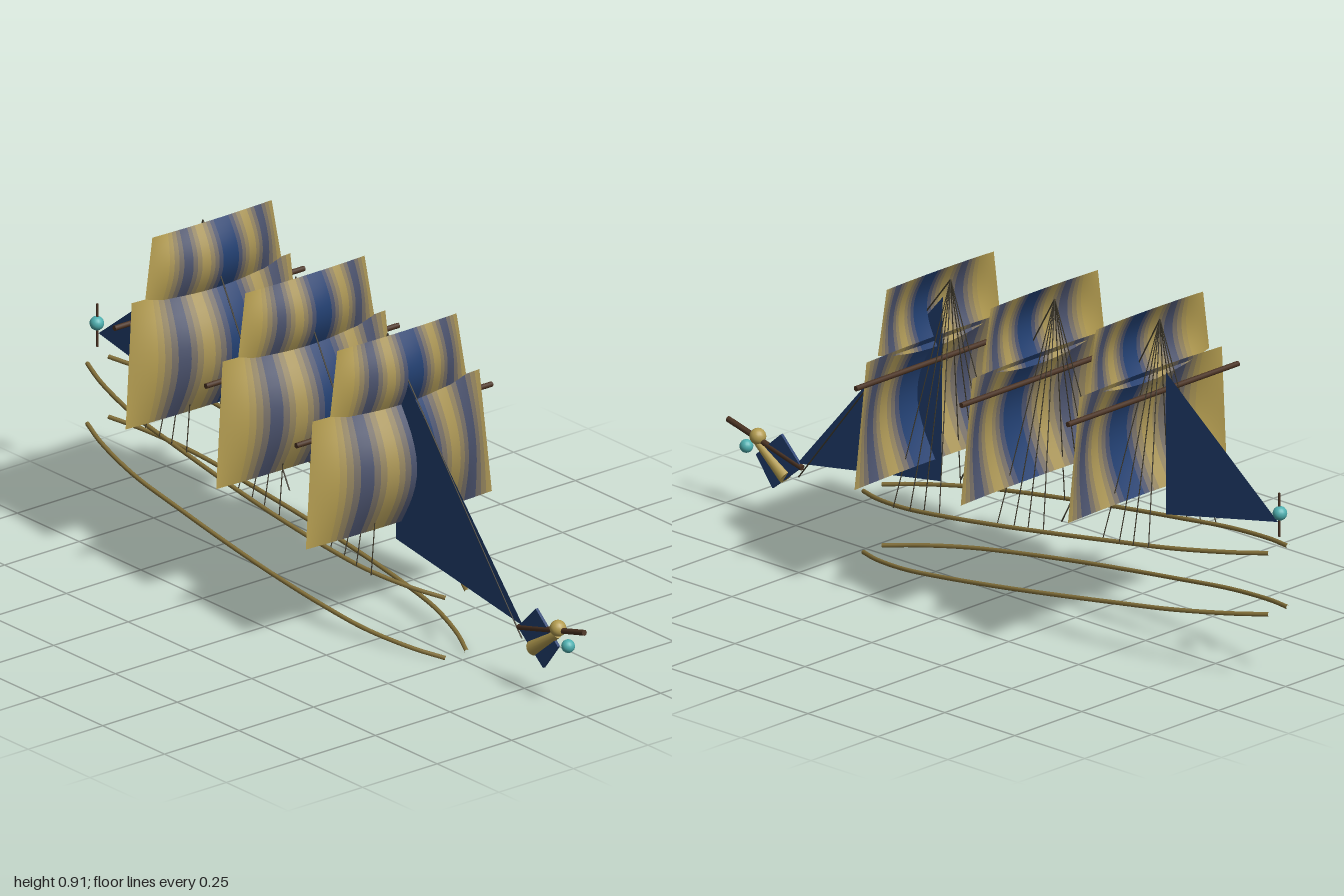
import * as THREE from 'three';

const V = (x, y, z) => new THREE.Vector3(x, y, z);
const GOLD = 0xb39c50, BLUE = 0x223f70, BROWN = 0x4a3222, TEAL = 0x4fb0b0, RAIL = 0x83703a, ROPE = 0x3f3a2c;
const mat = (color, side = THREE.FrontSide) => new THREE.MeshStandardMaterial({ color, side });

function add(parent, name, geometry, material) {
  const mesh = new THREE.Mesh(geometry, material);
  mesh.name = name;
  parent.add(mesh);
  return mesh;
}

// Straight round bar between two points
function bar(parent, name, a, b, r0, r1, material, sides = 8) {
  const mesh = add(parent, name, new THREE.CylinderGeometry(r1, r0, a.distanceTo(b), sides), material);
  mesh.position.copy(a).lerp(b, 0.5);
  mesh.quaternion.setFromUnitVectors(V(0, 1, 0), b.clone().sub(a).normalize());
  return mesh;
}

function ball(parent, name, p, r, material) {
  add(parent, name, new THREE.SphereGeometry(r, 16, 12), material).position.copy(p);
}

// Flat cloth lying in the plane x = 0, given as [z, y] corners
function flatSail(parent, name, points, material) {
  const shape = new THREE.Shape(points.map(([z, y]) => new THREE.Vector2(-z, y)));
  add(parent, name, new THREE.ShapeGeometry(shape), material).rotation.y = Math.PI / 2;
}

// Billowing sail, made of vertical strips that blend between gold and blue
function billowSail(parent, name, s) {
  const group = new THREE.Group();
  group.name = name;
  const stripes = [0, 0, 1, 0, 1, 1, 0, 1, 0];
  const columns = 32, rows = 12;
  const point = (u, v) => {
    const across = 1 - u * u;
    return V(
      u * THREE.MathUtils.lerp(s.bottomHalf, s.topHalf, v),
      THREE.MathUtils.lerp(s.bottom, s.top, v) - s.sag * across * (1 - v),
      s.z + s.depth * across * (0.12 + 0.88 * Math.sin(Math.PI * v)) + s.lean * (1 - v));
  };
  const e = 0.01;
  const normal = (u, v) => point(u + e, v).sub(point(u - e, v))
    .cross(point(u, v + e).sub(point(u, v - e))).normalize();
  for (let c = 0; c < columns; c++) {
    const pos = [], nor = [], index = [];
    for (let r = 0; r <= rows; r++) {
      for (const k of [c, c + 1]) {
        const u = (k / columns) * 2 - 1, v = r / rows;
        pos.push(...point(u, v).toArray());
        nor.push(...normal(u, v).toArray());
      }
      const a = r * 2;
      if (r < rows) index.push(a, a + 1, a + 3, a, a + 3, a + 2);
    }
    const g = new THREE.BufferGeometry();
    g.setAttribute('position', new THREE.Float32BufferAttribute(pos, 3));
    g.setAttribute('normal', new THREE.Float32BufferAttribute(nor, 3));
    g.setIndex(index);
    const t = ((c + 0.5) / columns) * 8, i = Math.floor(t);
    const blend = THREE.MathUtils.lerp(stripes[i], stripes[i + 1], t - i);
    const color = new THREE.Color(GOLD).lerp(new THREE.Color(BLUE), blend);
    add(group, 'sailStrip', g, mat(color, THREE.DoubleSide));
  }
  parent.add(group);
}

export function createModel() {
  const ship = new THREE.Group();
  ship.name = 'sailingShip';
  const gold = mat(GOLD), rail = mat(RAIL), brown = mat(BROWN), teal = mat(TEAL), rope = mat(ROPE);
  const cloth = mat(BLUE, THREE.DoubleSide);

  // Hull rails: one plan curve, repeated at two heights and mirrored
  const plan = [[0.035, 0.475], [0.075, 0.39], [0.115, 0.25], [0.13, 0.1], [0.136, -0.1],
    [0.132, -0.3], [0.122, -0.5], [0.108, -0.7], [0.07, -0.88], [0.036, -0.975]];
  const railY = (z) => 0.177 + (0.48 - z) * 0.135;
  for (const side of [1, -1]) {
    for (const [name, drop] of [['upperRail', 0], ['lowerRail', 0.168]]) {
      const curve = new THREE.CatmullRomCurve3(plan.map(([x, z]) => V(side * x, railY(z) - drop, z)));
      add(ship, name, new THREE.TubeGeometry(curve, 48, 0.006, 8), rail);
    }
  }

  // Three rigs, from bow to stern
  const rigs = [
    { z: 0.222, yard: 0.6, half: 0.328, bottom: 0.312, mid: 0.657, top: 0.835, apex: 0.82, stay: [0.14, 0.74] },
    { z: -0.15, yard: 0.647, half: 0.323, bottom: 0.361, mid: 0.705, top: 0.878, apex: 0.86, stay: [0.28, 0.16] },
    { z: -0.526, yard: 0.688, half: 0.318, bottom: 0.406, mid: 0.747, top: 0.914, apex: 0.9, stay: [0.255, -0.2] },
  ];
  rigs.forEach((r, i) => {
    const rig = new THREE.Group();
    rig.name = ['foreRig', 'mainRig', 'aftRig'][i];
    ship.add(rig);
    bar(rig, 'yard', V(-r.half, r.yard, r.z), V(r.half, r.yard, r.z), 0.0075, 0.0075, brown);
    const shrink = 1 - i * 0.025;
    billowSail(rig, 'lowerSail', { z: r.z + 0.008, bottom: r.bottom, top: r.mid, bottomHalf: 0.312 * shrink,
      topHalf: 0.28 * shrink, depth: 0.08, sag: 0, lean: 0.012 });
    billowSail(rig, 'upperSail', { z: r.z + 0.012, bottom: r.mid + 0.003, top: r.top, bottomHalf: 0.228,
      topHalf: 0.2, depth: 0.045, sag: 0.035, lean: 0.005 });

    // Forestay and shrouds, all from the head of the rig
    const head = V(0, r.apex, r.z - 0.025);
    bar(rig, 'forestay', head, V(0, ...r.stay), 0.002, 0.002, rope, 5);
    for (const side of [1, -1]) {
      for (const dz of [0.085, 0.025, -0.025, -0.08]) {
        const z = head.z + dz;
        bar(rig, 'shroud', head, V(side * 0.126, railY(z), z), 0.0015, 0.0015, rope, 5);
      }
    }
  });

  // Fore and aft triangular sails
  flatSail(ship, 'jib', [[0.225, 0.765], [0.23, 0.257], [0.745, 0.176]], cloth);
  flatSail(ship, 'sternSail', [[-0.572, 0.76], [-0.572, 0.369], [-0.973, 0.449]], cloth);

  // Stern lantern
  bar(ship, 'lanternPost', V(0, 0.41, -0.978), V(0, 0.53, -0.978), 0.003, 0.003, brown);
  ball(ship, 'sternLantern', V(0, 0.475, -0.98), 0.019, teal);

  // Figurehead on the bowsprit
  const figure = new THREE.Group();
  figure.name = 'figurehead';
  ship.add(figure);
  bar(figure, 'bowsprit', V(0, 0.168, 0.727), V(0, 0.236, 0.993), 0.008, 0.008, brown);
  bar(figure, 'figureBody', V(0, 0.128, 0.785), V(0, 0.198, 0.885), 0.021, 0.011, gold, 12);
  ball(figure, 'figureHead', V(0, 0.215, 0.886), 0.022, gold);
  ball(figure, 'bowLantern', V(0, 0.178, 0.927), 0.018, teal);
  const wing = new THREE.Shape([[-0.89, 0.165], [-0.83, 0.087], [-0.727, 0.17], [-0.8, 0.243]]
    .map(([x, y]) => new THREE.Vector2(x, y)));
  const wingMesh = add(figure, 'figureWing',
    new THREE.ExtrudeGeometry(wing, { depth: 0.008, bevelEnabled: false }), mat(BLUE));
  wingMesh.rotation.y = Math.PI / 2;
  wingMesh.position.x = -0.004;

  return ship;
}
